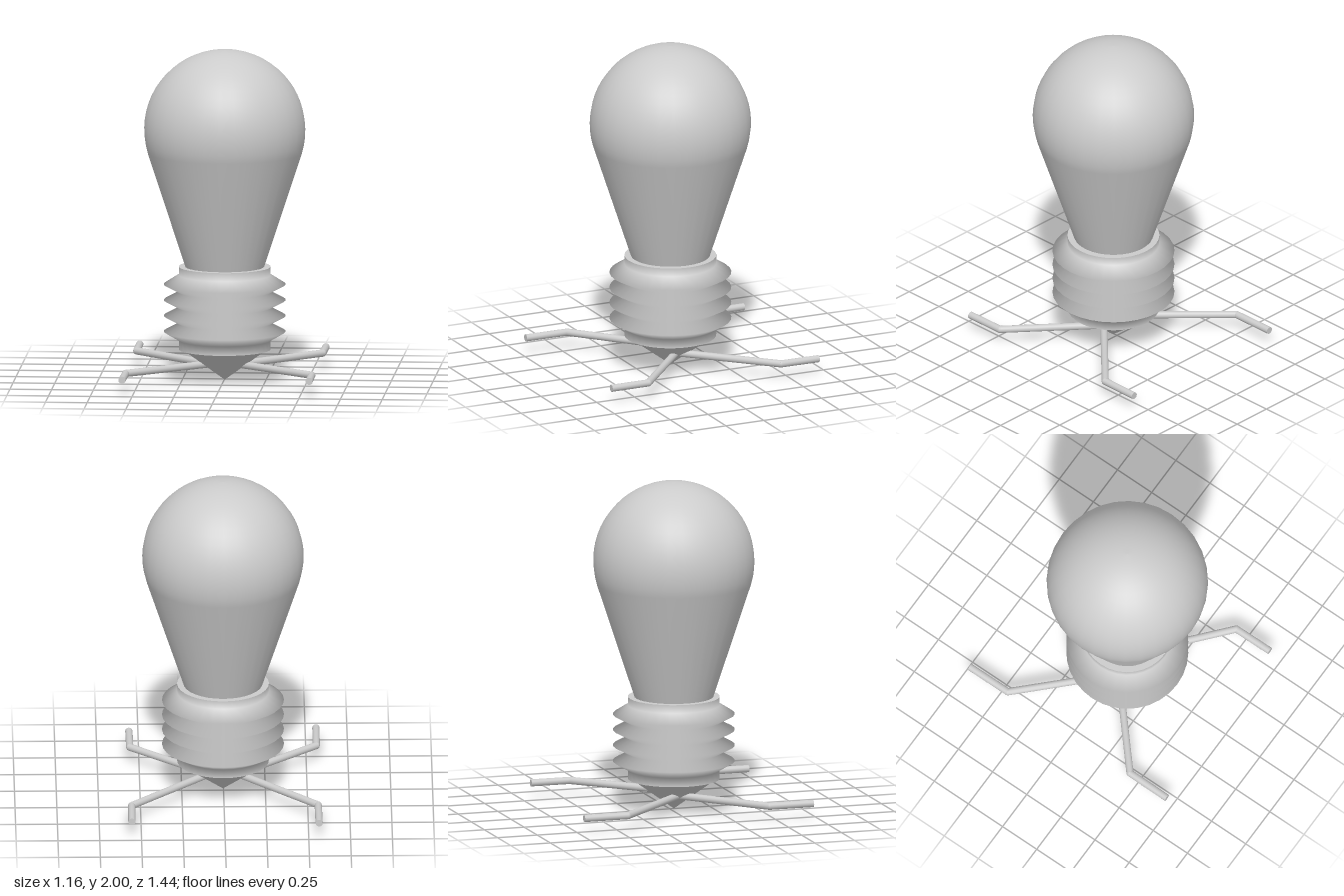
import * as THREE from 'three';

const material = new THREE.MeshStandardMaterial({ color: 0xcccccc, side: THREE.DoubleSide });
const CX = 0.003, CZ = 0.027; // axis of the bulb

function lathe(name, points, segments = 32) {
  const profile = points.map(([r, y]) => new THREE.Vector2(r, y));
  const mesh = new THREE.Mesh(new THREE.LatheGeometry(profile, segments), material);
  mesh.name = name;
  mesh.position.set(CX, 0, CZ);
  return mesh;
}

// Round rod between two points
function rod(name, a, b, radius) {
  const dir = b.clone().sub(a);
  const mesh = new THREE.Mesh(new THREE.CylinderGeometry(radius, radius, dir.length(), 12), material);
  mesh.name = name;
  mesh.position.copy(a).add(b).multiplyScalar(0.5);
  mesh.quaternion.setFromUnitVectors(new THREE.Vector3(0, 1, 0), dir.normalize());
  return mesh;
}

// Bent leg: diagonal rod, rounded elbow, foot parallel to z
function leg(name, [ex, ez], [fx, fz]) {
  const y = 0.1, radius = 0.022;
  const start = new THREE.Vector3(Math.sign(ex) * 0.09, y, CZ + Math.sign(ez) * 0.005);
  const elbow = new THREE.Vector3(ex, y, ez);
  const end = new THREE.Vector3(fx, y, fz);
  const group = new THREE.Group();
  group.name = name;
  const joint = new THREE.Mesh(new THREE.SphereGeometry(radius, 12, 8), material);
  joint.name = 'elbow';
  joint.position.copy(elbow);
  group.add(rod('upperLeg', start, elbow, radius), joint, rod('foot', elbow, end, radius));
  return group;
}

export function createModel() {
  const model = new THREE.Group();
  model.name = 'lightBulb';

  // Glass: straight neck running tangentially into a sphere
  const R = 0.483, centreY = 1.517, glass = [[0.235, 0.685]];
  const from = -0.29, steps = 18;
  for (let i = 0; i <= steps; i++) {
    const a = from + (Math.PI / 2 - from) * i / steps;
    glass.push([i === steps ? 0 : R * Math.cos(a), centreY + R * Math.sin(a)]);
  }
  model.add(lathe('glass', glass));

  // Screw socket: zigzag thread between two plain collars
  const socket = [[0.275, 0.19], [0.275, 0.245]];
  for (let i = 0; i < 4; i++) {
    const y = 0.298 + i * 0.095;
    socket.push([0.365, y]);
    socket.push(i < 3 ? [0.275, y + 0.0475] : [0.275, 0.64]);
  }
  socket.push([0.275, 0.69]);
  model.add(lathe('socket', socket));
  model.add(lathe('socketTop', [[0.275, 0.69], [0, 0.69]]));
  model.add(lathe('socketBottom', [[0.245, 0.188], [0.275, 0.19]]));

  // Pointed contact
  model.add(lathe('contactTip', [[0, 0.005], [0.25, 0.188]]));

  // Four bent legs
  model.add(leg('frontLeftLeg', [0.555, 0.435], [0.557, 0.68]));
  model.add(leg('backLeftLeg', [0.555, -0.445], [0.557, -0.69]));
  model.add(leg('frontRightLeg', [-0.56, 0.445], [-0.562, 0.717]));
  model.add(leg('backRightLeg', [-0.56, -0.45], [-0.562, -0.725]));

  return model;
}
